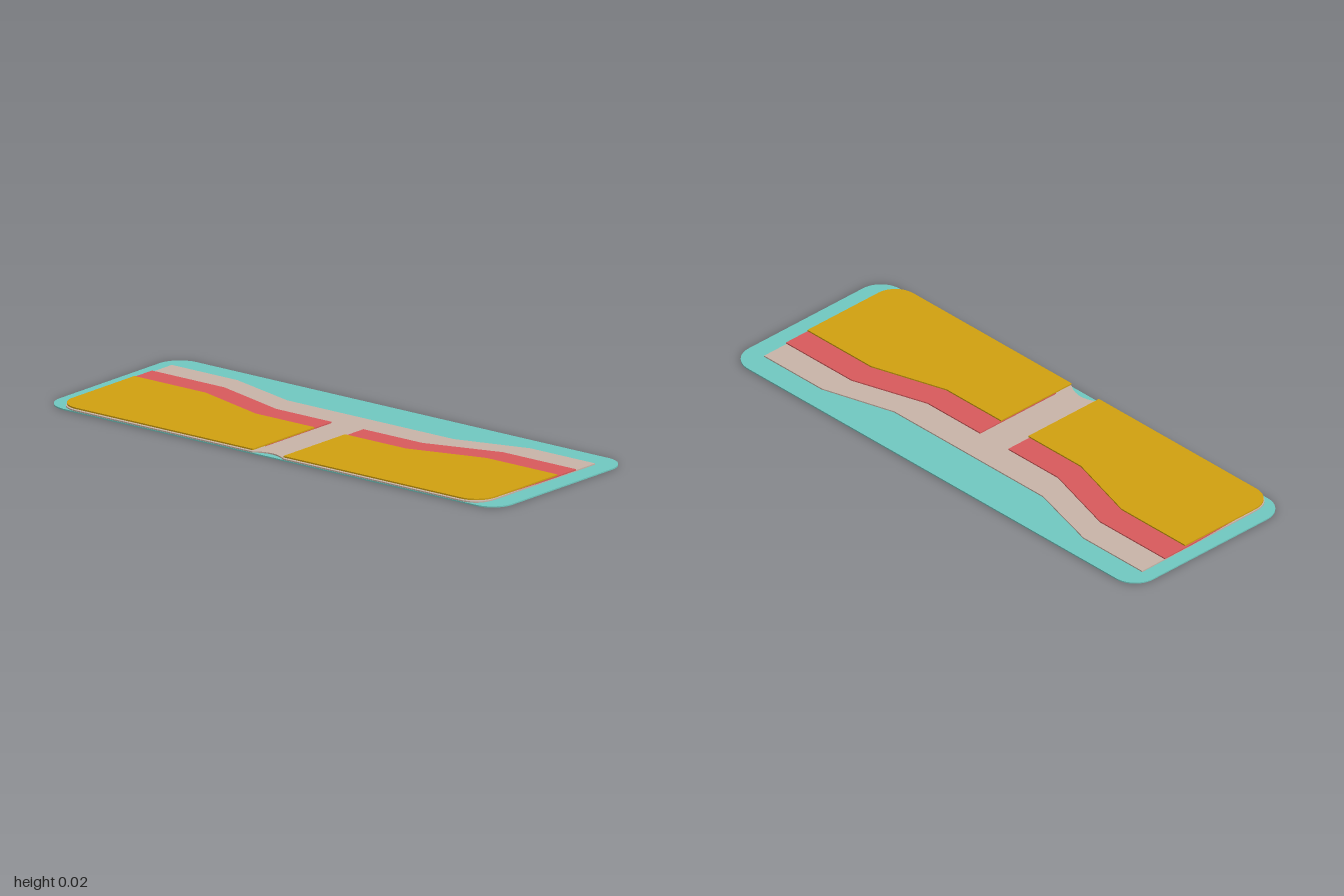
import * as THREE from 'three';

// Flat layer: outline(shape) is drawn in plan with y = -z, then raised from y = base
function layer(name, color, base, height, outline) {
  const shape = new THREE.Shape();
  outline(shape);
  const geo = new THREE.ExtrudeGeometry(shape, { depth: height, bevelEnabled: false, curveSegments: 10 });
  geo.rotateX(-Math.PI / 2);
  const mesh = new THREE.Mesh(geo, new THREE.MeshStandardMaterial({ color, side: THREE.DoubleSide }));
  mesh.name = name;
  mesh.position.y = base;
  return mesh;
}

// Straight-sided outline from [x, z] points
const polygon = (points) => (s) => {
  points.forEach(([x, z], i) => (i ? s.lineTo(x, -z) : s.moveTo(x, -z)));
  s.closePath();
};

export function createModel() {
  const group = new THREE.Group();
  group.name = 'layeredPanel';
  const t = 0.0045;
  const front = 0.36;

  // Rounded base plate
  group.add(layer('basePlate', 0x70c8c0, 0, t, (s) => {
    const w = 1, d = 0.361, r = 0.09;
    s.moveTo(-w + r, -d);
    s.lineTo(w - r, -d);
    s.absarc(w - r, -d + r, r, -Math.PI / 2, 0);
    s.absarc(w - r, d - r, r, 0, Math.PI / 2);
    s.absarc(-w + r, d - r, r, Math.PI / 2, Math.PI);
    s.absarc(-w + r, -d + r, r, Math.PI, Math.PI * 1.5);
  }));

  // Beige sheet with stepped back edge, rounded front corners and a shallow front notch
  group.add(layer('lowerSheet', 0xc8b4a8, t, t, (s) => {
    polygon([[-0.945, -0.27], [-0.655, -0.27], [-0.37, -0.19], [0.365, -0.19],
      [0.64, -0.27], [0.925, -0.27], [0.925, front - 0.09]])(s);
    s.curves.pop(); // reopen the outline to continue along the front
    s.currentPoint.set(0.925, -(front - 0.09));
    s.quadraticCurveTo(0.925, -front, 0.835, -front);
    s.lineTo(0.06, -front);
    s.quadraticCurveTo(-0.01, -0.31, -0.08, -front);
    s.lineTo(-0.85, -front);
    s.quadraticCurveTo(-0.94, -front, -0.94, -(front - 0.09));
    s.closePath();
  }));

  // Red sheets either side of the centre channel
  const red = [
    ['middleSheetRight', [[-0.945, -0.163], [-0.625, -0.163], [-0.325, -0.075], [-0.08, -0.075],
      [-0.08, 0.285], [-0.93, 0.285], [-0.945, -0.02]]],
    ['middleSheetLeft', [[0.06, -0.075], [0.32, -0.075], [0.605, -0.163], [0.928, -0.163],
      [0.928, -0.02], [0.915, 0.285], [0.06, 0.285]]],
  ];
  for (const [name, points] of red) group.add(layer(name, 0xd85a5c, 2 * t, t, polygon(points)));

  // Yellow top sheets with a rounded outer front corner: inner, bend, shoulder, outer x
  const yellow = [
    ['topSheetRight', -0.075, -0.335, -0.625, -0.94],
    ['topSheetLeft', 0.06, 0.33, 0.615, 0.928],
  ];
  for (const [name, inner, bend, shoulder, outer] of yellow) {
    const r = 0.085, side = Math.sign(outer);
    group.add(layer(name, 0xd0a010, 3 * t, t + 0.0005, (s) => {
      s.moveTo(inner, -front);
      s.lineTo(inner, -0.025);
      s.lineTo(bend, -0.025);
      s.lineTo(shoulder, 0.061);
      s.lineTo(outer, 0.061);
      s.lineTo(outer, -front + r);
      s.absarc(outer - side * r, -front + r, r, side > 0 ? 0 : Math.PI, side > 0 ? -Math.PI / 2 : Math.PI * 1.5, side > 0);
      s.closePath();
    }));
  }
  return group;
}
